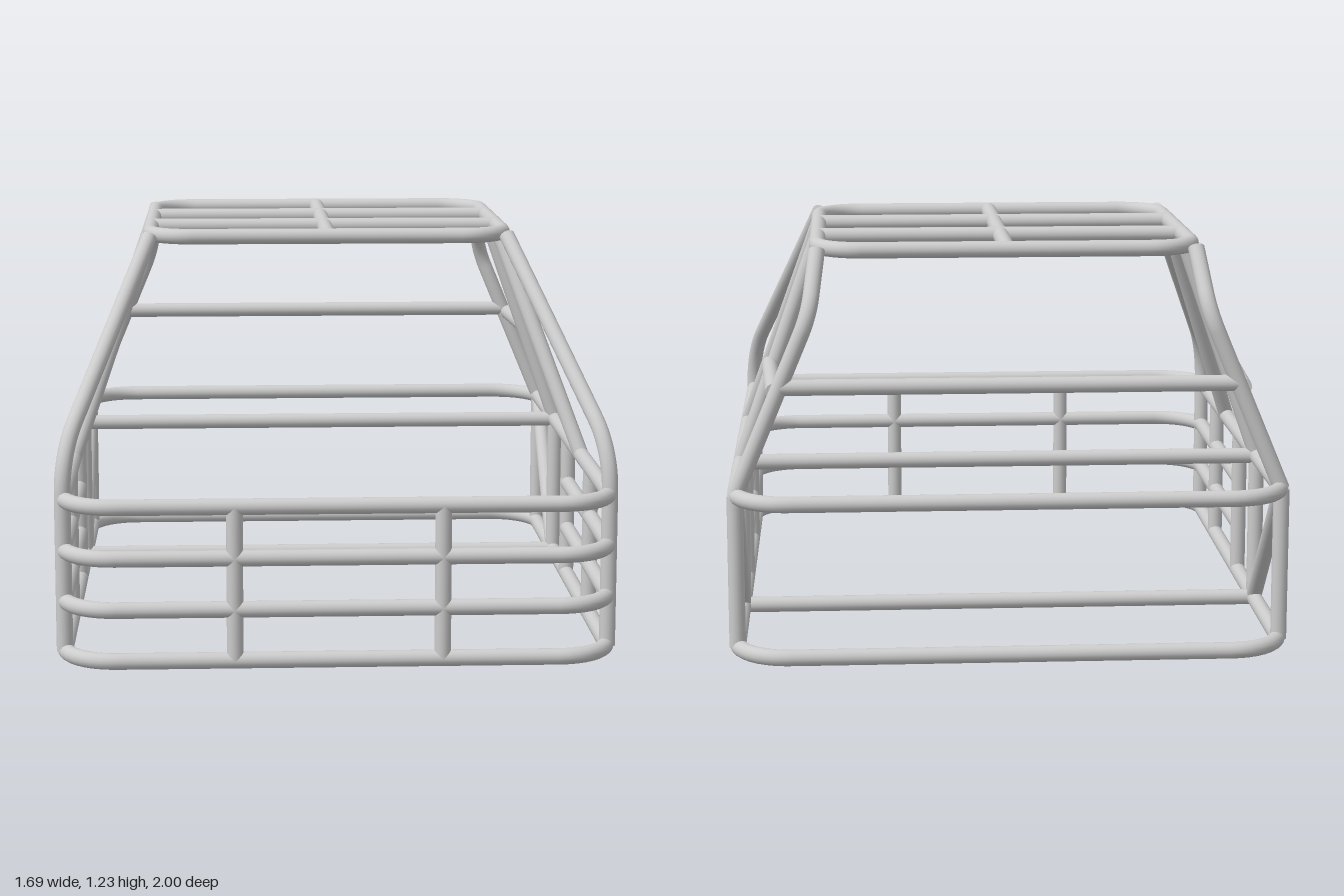
import * as THREE from 'three';
import { mergeGeometries } from 'three/addons/utils/BufferGeometryUtils.js';

const R = 0.0247;              // tube radius
const SIDES = 16;
const X = 0.818, Z = 0.9753;   // half extents of the lower frame, on tube centres
const FLOOR = 0.0247, BELT = 0.49, ROOF = 1.204;
const ROOF_X = 0.567, ROOF_BACK = -0.727, ROOF_FRONT = 0.25;
const MID_Z = -0.391, REAR_Z = -0.853, FRONT_Z = 0.853, POST_Z = -0.05;

const V = (x, y, z) => new THREE.Vector3(x, y, z);

// Polyline through the points with circular bends starting d before each corner
function bentPath(points, d, closed) {
  const path = new THREE.CurvePath();
  const n = points.length;
  const first = closed ? 0 : 1, last = closed ? n : n - 1;
  let cursor = closed ? null : points[0], start = cursor;
  for (let i = first; i < last; i++) {
    const p = points[i];
    const a = points[(i + n - 1) % n].clone().sub(p).normalize();
    const b = points[(i + 1) % n].clone().sub(p).normalize();
    const turn = Math.PI - a.angleTo(b);
    const h = d * (1 - (4 / 3) * Math.tan(turn / 4) / Math.tan(turn / 2));
    const at = (dir, s) => p.clone().addScaledVector(dir, s);
    const enter = at(a, d), leave = at(b, d);
    if (cursor) path.add(new THREE.LineCurve3(cursor, enter));
    else start = enter;
    path.add(new THREE.CubicBezierCurve3(enter, at(a, h), at(b, h), leave));
    cursor = leave;
  }
  path.add(new THREE.LineCurve3(cursor, closed ? start : points[n - 1]));
  path.arcLengthDivisions = 400;
  return path;
}

// Flat disc closing a tube end
function endCap(point, outward) {
  const g = new THREE.CircleGeometry(R, SIDES);
  g.applyQuaternion(new THREE.Quaternion().setFromUnitVectors(V(0, 0, 1), outward));
  return g.translate(point.x, point.y, point.z);
}

export function createModel() {
  const model = new THREE.Group();
  model.name = 'tubeFrame';
  const steel = new THREE.MeshStandardMaterial({ color: 0xcccccc });
  steel.name = 'light grey steel';

  function add(name, geometry) {
    const mesh = new THREE.Mesh(geometry, steel);
    mesh.name = name;
    model.add(mesh);
    return mesh;
  }

  // Straight capped tube between two points
  function bar(name, a, b) {
    const dir = b.clone().sub(a);
    const mesh = add(name, new THREE.CylinderGeometry(R, R, dir.length(), SIDES));
    mesh.position.copy(a).add(b).multiplyScalar(0.5);
    mesh.quaternion.setFromUnitVectors(V(0, 1, 0), dir.normalize());
  }

  // Bent tube, closed into a ring or capped at both ends
  function bent(name, points, d, closed = false, segments = 160) {
    const path = bentPath(points, d, closed);
    const tube = new THREE.TubeGeometry(path, segments, R, SIDES, closed);
    if (closed) return add(name, tube);
    const n = points.length;
    return add(name, mergeGeometries([
      tube,
      endCap(points[0], points[0].clone().sub(points[1]).normalize()),
      endCap(points[n - 1], points[n - 1].clone().sub(points[n - 2]).normalize()),
    ]));
  }

  const ring = (y, x, back, front) => [V(-x, y, back), V(x, y, back), V(x, y, front), V(-x, y, front)];

  // Floor ring, belt ring and roof ring
  bent('floorRing', ring(FLOOR, X, -Z, Z), 0.16, true, 240);
  bent('beltRing', ring(BELT, X, -Z, Z), 0.16, true, 240);
  bent('roofRing', ring(ROOF, ROOF_X, ROOF_BACK, ROOF_FRONT), 0.135, true, 200);

  // Guard rails wrapping round the front
  for (const y of [0.18, 0.335]) {
    bent('frontGuardRail', [V(X, y, POST_Z), V(X, y, Z), V(-X, y, Z), V(-X, y, POST_Z)], 0.16, false, 200);
  }

  // Roof bars
  for (const z of [MID_Z, -0.065]) bar('roofCrossBar', V(-ROOF_X, ROOF, z), V(ROOF_X, ROOF, z));
  bar('roofCentreBar', V(0, ROOF, ROOF_BACK), V(0, ROOF, ROOF_FRONT));

  // Cross bars between the middle hoop and the rear pillars
  for (const y of [FLOOR, BELT]) bar('middleCrossBar', V(-X, y, MID_Z), V(X, y, MID_Z));
  bar('rearCrossBar', V(-0.68, 0.815, REAR_Z), V(0.68, 0.815, REAR_Z));

  for (const s of [1, -1]) {
    const side = s > 0 ? 'left' : 'right';

    // Upright posts of the lower frame
    for (const z of [FRONT_Z, 0.463, POST_Z, MID_Z, REAR_Z]) {
      bar(side + 'SidePost', V(s * X, FLOOR, z), V(s * X, BELT, z));
    }
    bar(side + 'FrontPost', V(s * 0.308, FLOOR, Z), V(s * 0.308, BELT, Z));
    bar(side + 'RearDiagonal', V(s * X, FLOOR, MID_Z), V(s * X, BELT, REAR_Z));

    // Pillars from the belt to the roof
    bent(side + 'FrontPillar',
      [V(s * X, BELT, FRONT_Z), V(s * X, 0.625, FRONT_Z), V(s * ROOF_X, ROOF, 0.255)], 0.125, false, 64);
    bar(side + 'DoorPillar', V(s * X, BELT, 0.25), V(s * ROOF_X, ROOF, -0.053));
    bar(side + 'MiddlePillar', V(s * X, BELT, MID_Z), V(s * ROOF_X, ROOF, MID_Z));
    bent(side + 'RearPillar',
      [V(s * X, BELT, REAR_Z), V(s * 0.592, 1.03, REAR_Z), V(s * ROOF_X, ROOF, -0.722)], 0.065, false, 96);
    bar(side + 'RearSideRail', V(s * 0.722, 0.803, MID_Z), V(s * 0.698, 0.803, REAR_Z));
  }
  return model;
}
